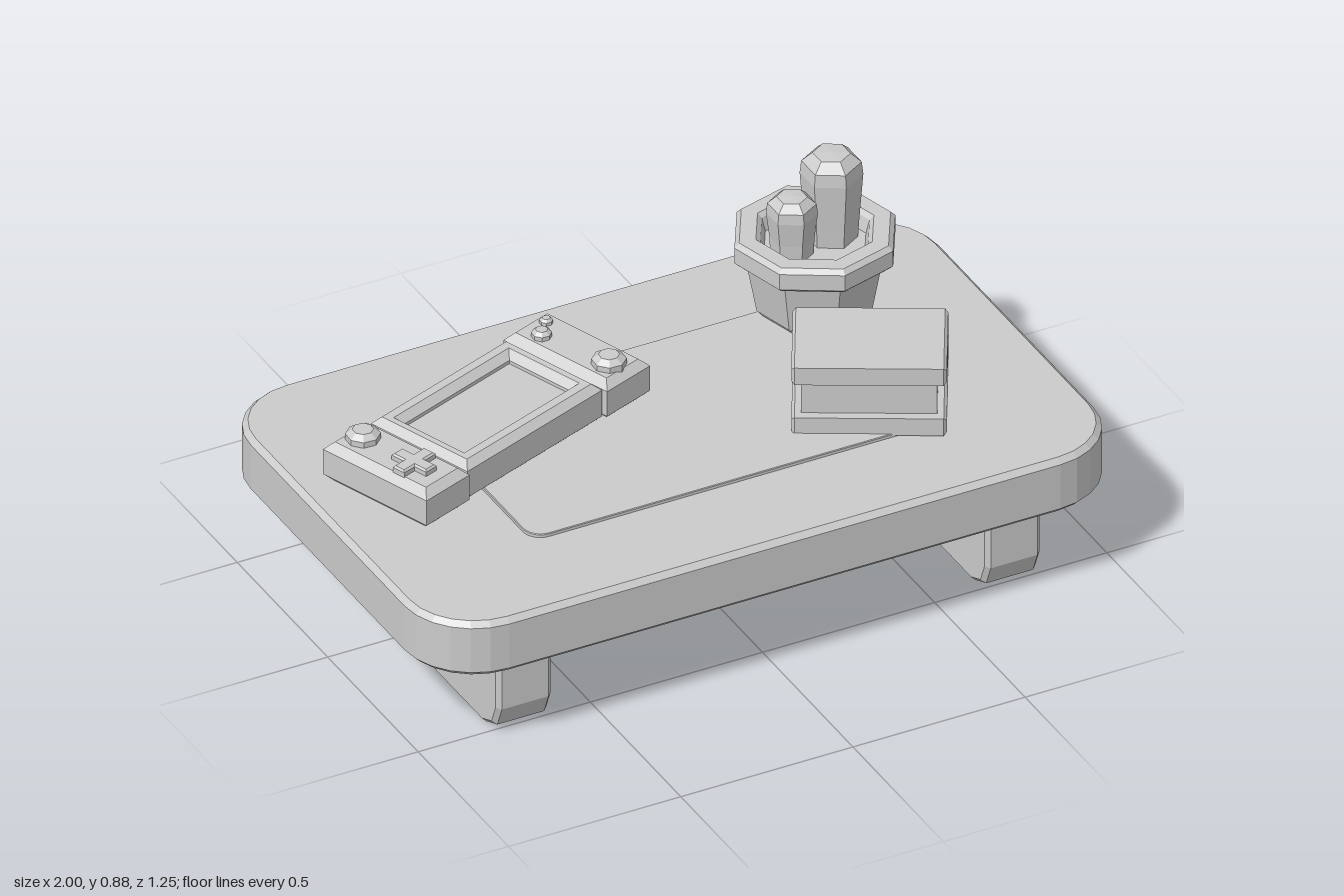
import * as THREE from 'three';

const material = new THREE.MeshStandardMaterial({ color: 0xcccccc, flatShading: true });

function addMesh(parent, name, geometry, x = 0, y = 0, z = 0) {
  const mesh = new THREE.Mesh(geometry, material);
  mesh.name = name;
  mesh.position.set(x, y, z);
  parent.add(mesh);
  return mesh;
}

// Rectangle with rounded corners, centred on the origin
function roundRect(w, d, r = 0) {
  const s = new THREE.Shape(), x = w / 2, y = d / 2;
  if (!r) return polygon([[-x, -y], [x, -y], [x, y], [-x, y]]);
  s.absarc(x - r, -y + r, r, -Math.PI / 2, 0);
  s.absarc(x - r, y - r, r, 0, Math.PI / 2);
  s.absarc(-x + r, y - r, r, Math.PI / 2, Math.PI);
  s.absarc(-x + r, -y + r, r, Math.PI, Math.PI * 1.5);
  s.closePath();
  return s;
}

function polygon(points) {
  return new THREE.Shape(points.map(([x, y]) => new THREE.Vector2(x, y)));
}

// Chamfered extrusion that keeps the outline's size and starts at z = 0
function chamfer(shape, depth, bevel, curveSegments = 3) {
  return new THREE.ExtrudeGeometry(shape, {
    depth: depth - 2 * bevel, bevelSize: bevel, bevelThickness: bevel,
    bevelOffset: -bevel, bevelSegments: 1, curveSegments,
  }).translate(0, 0, bevel);
}

// The same, lying flat with its base on y = 0
const slab = (...args) => chamfer(...args).rotateX(-Math.PI / 2);

function lathe(points, sides) {
  return new THREE.LatheGeometry(points.map(([r, y]) => new THREE.Vector2(r, y)), sides);
}

function buildTable(root) {
  const table = new THREE.Group();
  table.name = 'table';
  addMesh(table, 'tabletop', slab(roundRect(2, 1.25, 0.2), 0.165, 0.015), 0, 0.255, 0);
  addMesh(table, 'mat', slab(roundRect(1.16, 0.67, 0.05), 0.02, 0.002), 0, 0.41, -0.005);

  // U-shaped leg frames running front to back
  const r = 0.085, w = 0.54, c = 0.29, top = 0.265, bar = 0.127, k = r * 0.293;
  const profile = polygon([
    [-w, top], [-w, r], [-w + k, k], [-w + r, 0], [w - r, 0], [w - k, k], [w, r], [w, top],
    [c, top], [c, bar], [-c, bar], [-c, top],
  ]);
  for (const [name, x] of [['rightLeg', -0.71], ['leftLeg', 0.71]]) {
    const geometry = chamfer(profile, 0.16, 0.012).translate(0, 0, -0.08).rotateY(Math.PI / 2);
    addMesh(table, name, geometry, x);
  }
  root.add(table);
}

function buildConsole(root) {
  const group = new THREE.Group();
  group.name = 'handheldConsole';
  group.position.set(-0.465, 0.425, -0.14);
  group.rotation.y = THREE.MathUtils.degToRad(20);

  // Body is a frame around a recessed screen
  const frame = roundRect(0.515, 0.335);
  frame.holes.push(roundRect(0.4, 0.205));
  addMesh(group, 'consoleBody', slab(frame, 0.12, 0.02));
  addMesh(group, 'screen', new THREE.BoxGeometry(0.42, 0.085, 0.22), 0, 0.0475, 0);
  for (const [name, x] of [['rightController', -0.345], ['leftController', 0.345]]) {
    addMesh(group, name, slab(roundRect(0.165, 0.36), 0.12, 0.022), x);
  }

  // Thumb sticks and round buttons
  const buttons = [
    ['rightStick', -0.346, -0.115, 0.046, 0.03], ['leftStick', 0.338, 0.118, 0.046, 0.03],
    ['largeButton', 0.317, -0.097, 0.027, 0.022], ['smallButton', 0.372, -0.131, 0.018, 0.016],
  ];
  for (const [name, x, z, r, h] of buttons) {
    const profile = [[r, -0.005], [r, h * 0.55], [r * 0.6, h], [0, h]];
    addMesh(group, name, lathe(profile, 8), x, 0.12, z);
  }

  // Directional pad
  const a = 0.02, b = 0.06;
  const cross = polygon([
    [-a, -b], [a, -b], [a, -a], [b, -a], [b, a], [a, a],
    [a, b], [-a, b], [-a, a], [-b, a], [-b, -a], [-a, -a],
  ]);
  addMesh(group, 'directionPad', slab(cross, 0.025, 0.005), -0.348, 0.113, 0.065);
  root.add(group);
}

function buildBook(root) {
  const book = new THREE.Group();
  book.name = 'book';
  book.position.set(0.482, 0.425, 0.176);
  book.rotation.y = THREE.MathUtils.degToRad(-28.5);

  // Cover wraps the back edge and opens toward the front
  const h = 0.205, t = 0.052, d = 0.1425, spine = 0.04;
  const cover = polygon([
    [-d, 0], [d, 0], [d, h], [-d, h], [-d, h - t], [d - spine, h - t], [d - spine, t], [-d, t],
  ]);
  addMesh(book, 'cover', chamfer(cover, 0.4, 0.008).translate(0, 0, -0.2).rotateY(Math.PI / 2));
  addMesh(book, 'pages', new THREE.BoxGeometry(0.35, 0.12, 0.235), 0, h / 2, 0);
  root.add(book);
}

function buildPlant(root) {
  const plant = new THREE.Group();
  plant.name = 'pottedCactus';
  const pot = lathe([
    [0, 0.418], [0.132, 0.418], [0.16, 0.45], [0.188, 0.6], [0.21, 0.6], [0.221, 0.61],
    [0.221, 0.657], [0.208, 0.67], [0.162, 0.67], [0.15, 0.658], [0.14, 0.62], [0, 0.62],
  ], 8);
  addMesh(plant, 'pot', pot, 0.57, 0, -0.295).rotation.y = 0.66;

  // Two six-sided stems
  const stem = (r, top) => lathe([
    [r * 0.82, 0.6], [r * 0.87, 0.67], [r, top - r * 0.8], [r * 0.95, top - r * 0.36],
    [r * 0.6, top - r * 0.05], [0, top],
  ], 6);
  addMesh(plant, 'tallStem', stem(0.082, 0.879), 0.625, 0, -0.308);
  addMesh(plant, 'shortStem', stem(0.067, 0.796), 0.498, 0, -0.285);
  root.add(plant);
}

export function createModel() {
  const root = new THREE.Group();
  root.name = 'tableScene';
  buildTable(root);
  buildConsole(root);
  buildBook(root);
  buildPlant(root);
  return root;
}
